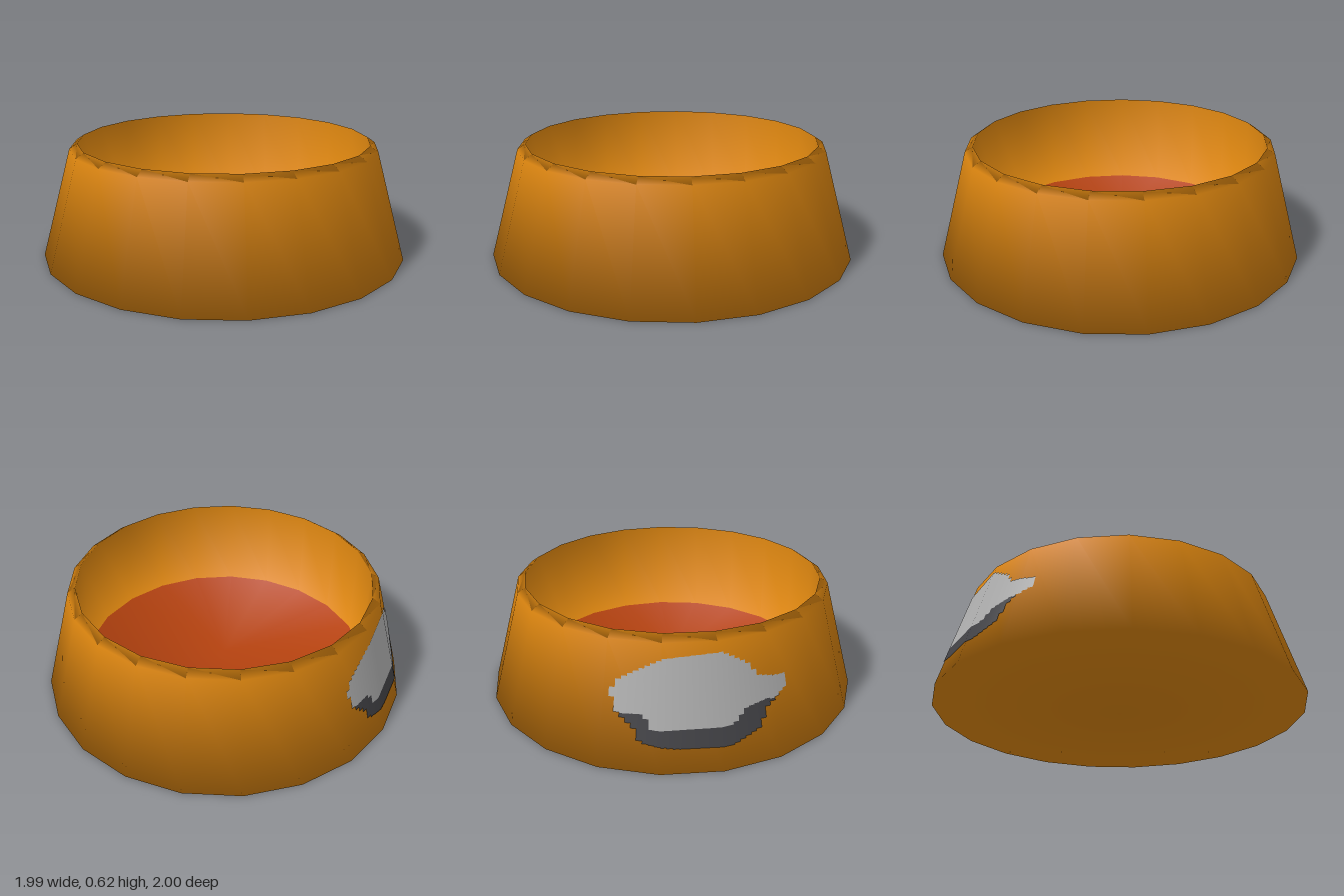
import * as THREE from 'three';

const SIDES = 21;
const STEP = (Math.PI * 2) / SIDES;
const BASE = { r: 1.003, y: 0 };
const SHOULDER = { r: 0.838, y: 0.588 };

// Piecewise-linear lookup through [x, y] points
function sample(points, x) {
  if (x <= points[0][0]) return points[0][1];
  for (let i = 1; i < points.length; i++) {
    const [x0, y0] = points[i - 1], [x1, y1] = points[i];
    if (x <= x1) return y0 + ((y1 - y0) * (x - x0)) / (x1 - x0);
  }
  return points[points.length - 1][1];
}

// Point on the faceted outer wall, lifted slightly outward
function wallPoint(angle, y) {
  const k = Math.floor(angle / STEP + 1e-6), t = angle / STEP - k;
  const r = 0.004 + BASE.r + ((SHOULDER.r - BASE.r) * y) / SHOULDER.y;
  const a = k * STEP, b = a + STEP;
  return [
    r * (Math.cos(a) * (1 - t) + Math.cos(b) * t), y,
    r * (Math.sin(a) * (1 - t) + Math.sin(b) * t),
  ];
}

// Thin painted patch made of narrow columns between two height profiles
function wallPatch(name, material, lower, upper) {
  const pos = [], nor = [], index = [];
  const columns = 10;
  const width = STEP / columns;
  const back = Math.PI * 1.5;
  const first = Math.floor((back - THREE.MathUtils.degToRad(33.7)) / width);
  const last = Math.ceil((back + THREE.MathUtils.degToRad(19)) / width);
  for (let c = first; c < last; c++) {
    const right = c * width, left = right + width;
    const deg = THREE.MathUtils.radToDeg(back - (left + right) / 2);
    const lo = lower(deg), hi = upper(deg);
    if (hi - lo < 0.004) continue;
    const n = pos.length / 3;
    for (const [a, y] of [[left, lo], [right, lo], [right, hi], [left, hi]]) {
      pos.push(...wallPoint(a, y));
      nor.push(Math.cos(a) * 0.963, 0.27, Math.sin(a) * 0.963);
    }
    index.push(n, n + 1, n + 2, n, n + 2, n + 3);
  }
  const g = new THREE.BufferGeometry();
  g.setAttribute('position', new THREE.Float32BufferAttribute(pos, 3));
  g.setAttribute('normal', new THREE.Float32BufferAttribute(nor, 3));
  g.setIndex(index);
  const mesh = new THREE.Mesh(g, material);
  mesh.name = name;
  return mesh;
}

export function createModel() {
  const make = (name, color) => {
    const m = new THREE.MeshStandardMaterial({ color });
    m.name = name;
    return m;
  };
  const orange = make('orange', 0xda840f);
  const rust = make('rust red', 0xb5420f);
  const grey = make('light grey', 0xaeaeae);
  const dark = make('dark grey', 0x434347);

  const group = new THREE.Group();
  group.name = 'bowl';

  // One smooth lathed profile: underside, wall, lip, inner wall, floor
  const profile = [
    [0, 0], [BASE.r, BASE.y], [SHOULDER.r, SHOULDER.y],
    [0.795, 0.617], [0.795, 0.09], [0, 0.09],
  ].map(([r, y]) => new THREE.Vector2(r, y));
  const lathe = new THREE.LatheGeometry(profile, SIDES, Math.PI / 2);
  const bands = profile.length - 1;

  // Split the floor band from the rest so each part has its own colour
  const addPart = (name, material, keep) => {
    const g = lathe.clone();
    g.setIndex(Array.from(lathe.index.array).filter((_, i) => keep(Math.floor(i / 6) % bands)));
    const mesh = new THREE.Mesh(g, material);
    mesh.name = name;
    group.add(mesh);
  };
  addPart('bowlShell', orange, (band) => band < bands - 1);
  addPart('bowlFloor', rust, (band) => band === bands - 1);

  // Worn badge on the back: heights by degrees around from the back
  const top = [[-19, 0.374], [-17, 0.42], [-12, 0.46], [-4, 0.52], [14, 0.54],
    [22, 0.474], [25.5, 0.405], [33.5, 0.38]];
  const bottom = [[-19, 0.34], [-17.4, 0.27], [-12, 0.2], [-10, 0.138], [0.6, 0.115],
    [16, 0.114], [24.4, 0.165], [27.6, 0.26], [33.7, 0.314]];
  const split = [[-19, 0.26], [-9.3, 0.268], [-6.8, 0.2], [8, 0.203], [16.4, 0.206],
    [20.7, 0.27], [27.5, 0.29], [33.7, 0.27]];
  const lowEdge = (d) => sample(bottom, d);
  const midEdge = (d) => Math.max(sample(bottom, d), sample(split, d));
  group.add(wallPatch('badgeFace', grey, midEdge, (d) => sample(top, d)));
  group.add(wallPatch('badgeShade', dark, lowEdge, midEdge));

  // Centre the odd-sided outline
  for (const part of group.children) part.position.x = -0.0056;
  return group;
}
